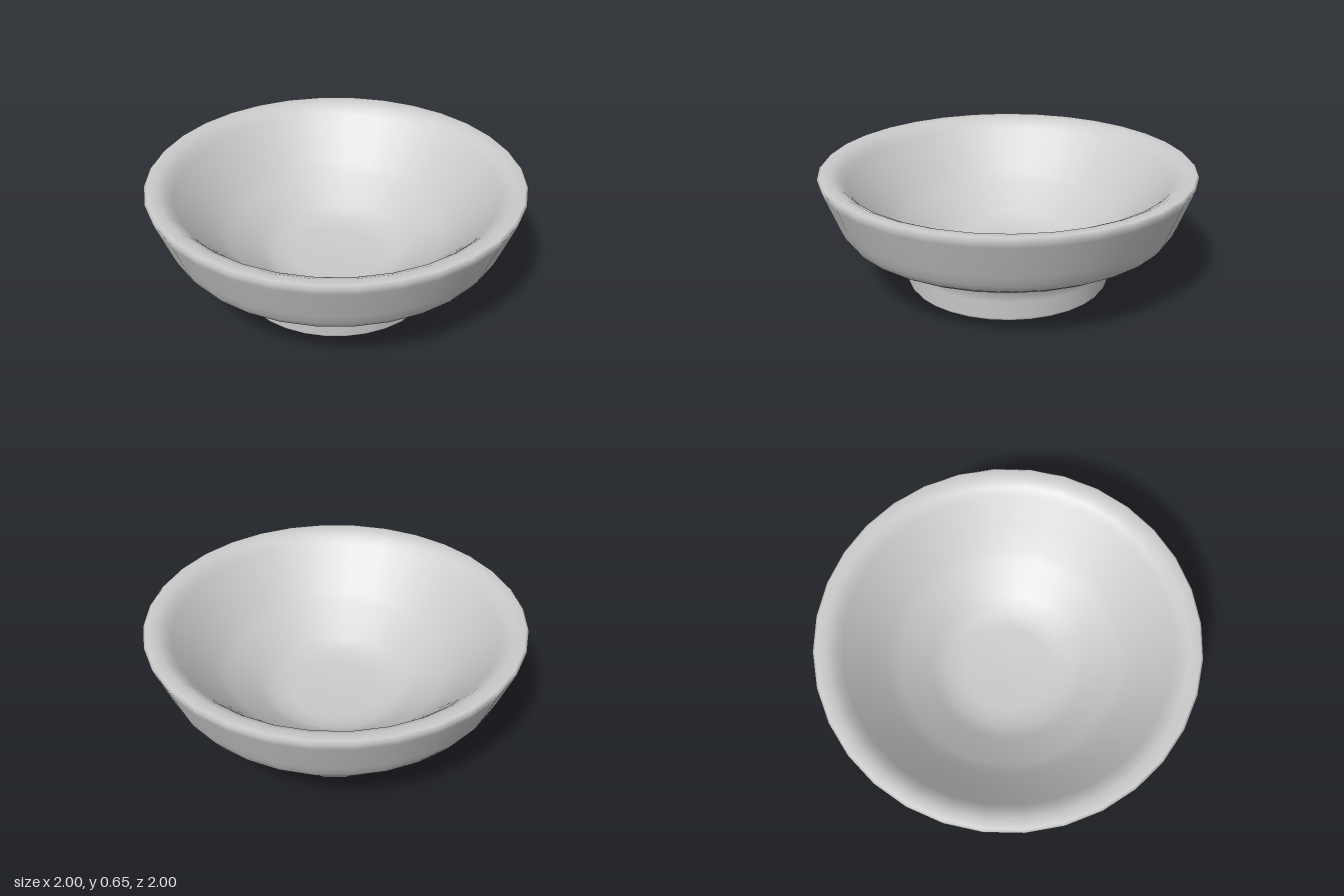
import * as THREE from 'three';

export function createModel() {
  const group = new THREE.Group();
  group.name = 'footedBowl';

  // Cross-section [radius, height], from under the foot, up the outside, over the rim and down inside
  const profile = [
    // shallow recess under the foot
    [0, 0.035], [0.45, 0.035], [0.485, 0.026], [0.505, 0.008],
    // foot ring
    [0.525, 0], [0.542, 0.004], [0.551, 0.02], [0.549, 0.11],
    // flare and shoulder
    [0.558, 0.16], [0.583, 0.2], [0.64, 0.232], [0.82, 0.3], [0.87, 0.33], [0.897, 0.37],
    // outer wall and rounded rim
    [0.92, 0.425], [0.988, 0.6], [1, 0.635], [0.985, 0.648], [0.93, 0.645], [0.89, 0.626],
    // sloping inner wall, gentler lower slope and floor
    [0.855, 0.592], [0.76, 0.49], [0.65, 0.38], [0.59, 0.33],
    [0.42, 0.209], [0.34, 0.168], [0.24, 0.15], [0, 0.145],
  ].map(([r, y]) => new THREE.Vector2(r, y));

  const bowl = new THREE.Mesh(
    new THREE.LatheGeometry(profile, 32),
    new THREE.MeshStandardMaterial({ color: 0xcccccc })
  );
  bowl.name = 'bowl';
  group.add(bowl);
  return group;
}
